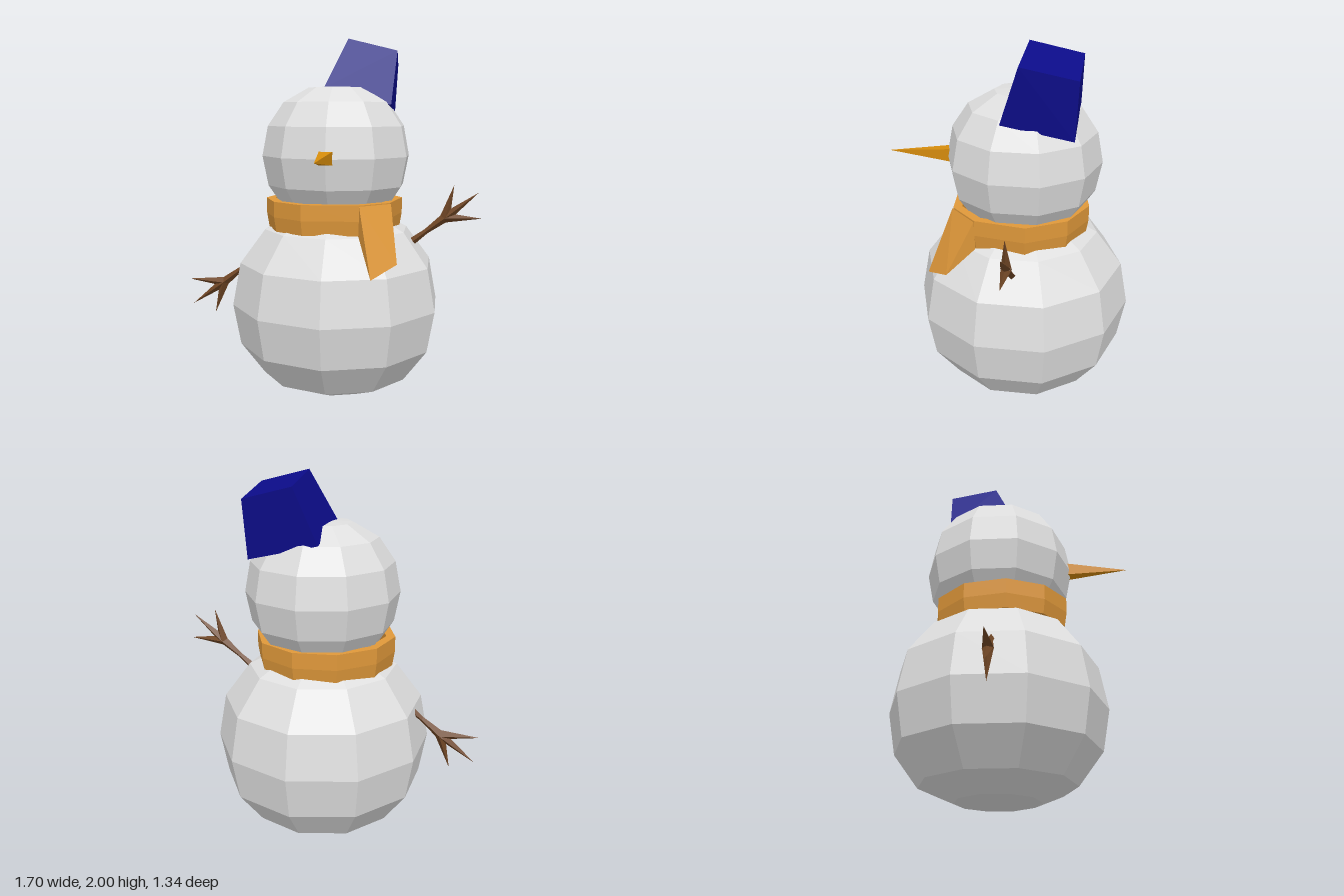
import * as THREE from 'three';
import { ConvexGeometry } from 'three/addons/geometries/ConvexGeometry.js';

const material = (name, color) => {
  const m = new THREE.MeshStandardMaterial({ color });
  m.name = name;
  return m;
};

// Gives every face its own flat normal
const flat = (geometry) => {
  const g = geometry.index ? geometry.toNonIndexed() : geometry;
  g.computeVertexNormals();
  return g;
};

const points2 = (list) => list.map(([x, y]) => new THREE.Vector2(x, y));
const hull = (list) => new ConvexGeometry(list.map((p) => new THREE.Vector3(...p)));

// Four-sided tapered stick between two points
const stick = (a, b, r0, r1) => {
  const from = new THREE.Vector3(...a), to = new THREE.Vector3(...b);
  const dir = to.clone().sub(from);
  const g = new THREE.CylinderGeometry(r1, r0, dir.length(), 4);
  g.applyQuaternion(new THREE.Quaternion().setFromUnitVectors(
    new THREE.Vector3(0, 1, 0), dir.clone().normalize()));
  const mid = from.add(to).multiplyScalar(0.5);
  return flat(g.translate(mid.x, mid.y, mid.z));
};

export function createModel() {
  const model = new THREE.Group();
  model.name = 'snowman';
  const snow = material('snow', 0xdedede);
  const wool = material('scarf orange', 0xdf983a);
  const carrot = material('carrot orange', 0xd68c0c);
  const wood = material('wood brown', 0x6e4524);
  const navy = material('hat blue', 0x0b0b88);

  const add = (name, geometry, mat, parent = model) => {
    const mesh = new THREE.Mesh(geometry, mat);
    mesh.name = name;
    parent.add(mesh);
    return mesh;
  };

  // Ten-sided snowballs, flattened at the poles
  const snowball = (name, profile) =>
    add(name, flat(new THREE.LatheGeometry(points2(profile), 10)), snow)
      .position.set(0.03, 0, -0.075);
  snowball('body', [[0, 0], [0.23, 0.02], [0.42, 0.1], [0.555, 0.28], [0.597, 0.51],
    [0.552, 0.75], [0.41, 0.94], [0.23, 1.03], [0, 1.05]]);
  snowball('head', [[0, 0.98], [0.16, 0.99], [0.3, 1.06], [0.388, 1.19], [0.42, 1.355],
    [0.388, 1.52], [0.3, 1.65], [0.16, 1.73], [0, 1.74]]);

  // Carrot nose
  const nose = new THREE.ConeGeometry(0.054, 0.37, 4, 1, false, Math.PI / 4);
  nose.rotateX(Math.PI / 2);
  add('nose', flat(nose), carrot).position.set(0.03, 1.36, 0.485);

  // Scarf band: a ring whose corners sit at uneven angles
  const angles = [-19, 28, 59, 101, 137, 172, 207, 242, 277, 310, 341];
  const section = [[0.372, 0.95], [0.385, 1.03], [0.385, 1.115], [0.335, 1.115], [0.33, 0.95], [0.372, 0.95]];
  const band = new THREE.LatheGeometry(points2(section), 10);
  const pos = band.attributes.position;
  for (let i = 0; i < pos.count; i++) {
    const a = THREE.MathUtils.degToRad(angles[Math.floor(i / section.length)]);
    const r = section[i % section.length][0];
    pos.setXYZ(i, 0.02 + r * Math.sin(a), pos.getY(i), -0.055 + r * Math.cos(a));
  }
  add('scarfBand', flat(band), wool);

  // Scarf tail: a wedge hanging away from the band
  add('scarfTail', hull([
    [0.2, 1.11, 0.29], [0.355, 1.11, 0.145],
    [0.195, 0.95, 0.275], [0.345, 0.95, 0.14],
    [0.275, 0.75, 0.42], [0.4, 0.81, 0.29],
  ]), wool);

  // Tilted, tapered hat
  add('hat', hull([
    [0.09, 2.0, -0.105], [0.365, 1.93, -0.085], [0.352, 1.87, -0.375], [0.08, 1.94, -0.38],
    [-0.03, 1.73, 0.0], [0.34, 1.635, 0.01], [0.335, 1.565, -0.36], [-0.045, 1.655, -0.365],
  ]), navy);

  // Twig arms with three pointed fingers
  const z = -0.07;
  const arm = (name, base, palm, tips) => {
    const group = new THREE.Group();
    group.name = name;
    model.add(group);
    const at = (t) => [0, 1].map((k) => base[k] + (palm[k] - base[k]) * t).concat(z);
    add('lowerTwig', stick(at(0), at(0.45), 0.023, 0.014), wood, group);
    add('upperTwig', stick(at(0.45), at(1), 0.014, 0.028), wood, group);
    for (const tip of tips) add('finger', stick(at(0.92), [...tip, z], 0.028, 0), wood, group);
  };
  arm('leftArm', [0.44, 0.855], [0.66, 1.025], [[0.69, 1.195], [0.825, 1.155], [0.845, 1.01]]);
  arm('rightArm', [-0.44, 0.755], [-0.66, 0.585], [[-0.855, 0.61], [-0.835, 0.46], [-0.7, 0.41]]);

  return model;
}
